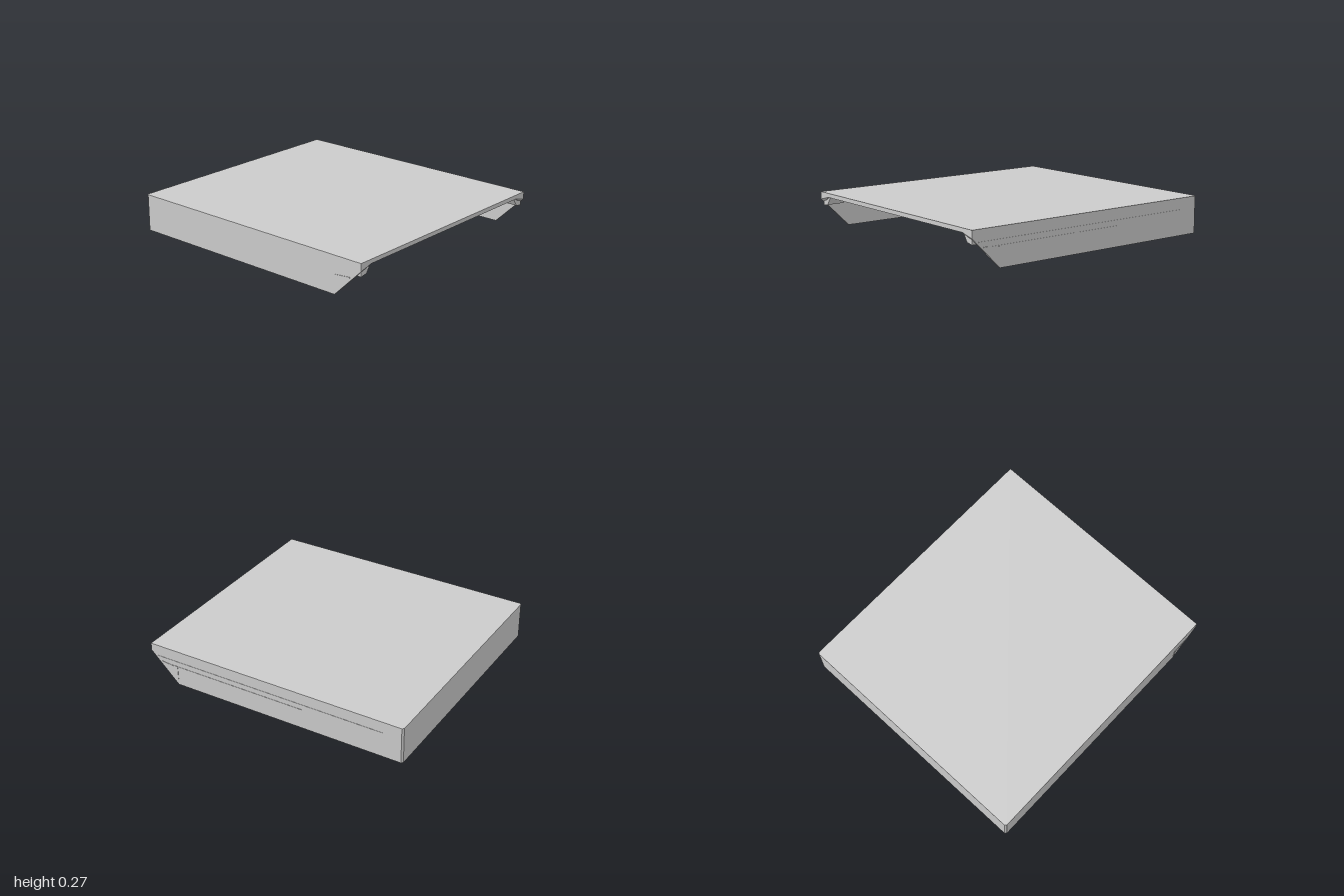
import * as THREE from 'three';

const material = new THREE.MeshStandardMaterial({ color: 0xcccccc, flatShading: true, side: THREE.DoubleSide });

function part(name, geometry, x = 0, y = 0, z = 0) {
  const mesh = new THREE.Mesh(geometry, material);
  mesh.name = name;
  mesh.position.set(x, y, z);
  return mesh;
}

// U-shaped outline, open towards +x, with clipped corners at the closed end
function outline(y, openX, closedX, halfZ, cut) {
  const half = [[openX, halfZ], [closedX + cut, halfZ], [closedX, halfZ - cut]];
  const mirrored = half.map(([x, z]) => [x, -z]).reverse();
  return [...half, ...mirrored].map(([x, z]) => [x, y, z]);
}

// Skin joining the outlines, from the outer top round the rim to the inner ceiling
function rimGeometry(rows) {
  const points = [];
  const tri = (a, b, c) => points.push(...a, ...b, ...c);
  for (let r = 0; r < rows.length - 1; r++) {
    for (let i = 0; i < rows[r].length - 1; i++) {
      const a = rows[r][i], b = rows[r][i + 1], c = rows[r + 1][i], d = rows[r + 1][i + 1];
      tri(a, b, c);
      tri(b, d, c);
    }
  }
  // Slanted ends of the two side walls
  for (const end of [0, rows[0].length - 1]) {
    const ring = rows.map(row => row[end]);
    for (let k = 2; k < ring.length - 1; k++) tri(ring[1], ring[k], ring[k + 1]);
    tri(ring[0], ring[1], ring[ring.length - 1]);
  }
  const g = new THREE.BufferGeometry();
  g.setAttribute('position', new THREE.Float32BufferAttribute(points, 3));
  g.computeVertexNormals();
  return g;
}

// Flat panel filling an outline
function panelGeometry(row) {
  const shape = new THREE.Shape(row.map(([x, , z]) => new THREE.Vector2(x, -z)));
  const g = new THREE.ShapeGeometry(shape);
  g.rotateX(-Math.PI / 2);
  g.translate(0, row[0][1], 0);
  return g;
}

export function createModel() {
  const group = new THREE.Group();
  group.name = 'trayLid';

  const top = outline(0.27, 1, -1, 0.91, 0.012);
  const ceiling = outline(0.24, 1, -0.88, 0.81, 0.04);
  const rows = [
    top,
    outline(0.215, 1, -1, 0.91, 0.012),
    outline(0, 0.78, -1, 0.91, 0.012),
    outline(0, 0.78, -0.98, 0.895, 0.085),
    outline(0.19, 0.975, -0.98, 0.895, 0.085),
    ceiling,
  ];
  group.add(part('rim', rimGeometry(rows)));
  group.add(part('topPanel', panelGeometry(top)));
  group.add(part('ceilingPanel', panelGeometry(ceiling)));
  group.add(part('openEdge', new THREE.BoxGeometry(0.02, 0.03, 1.8), 0.99, 0.255, 0));

  // Wedge blocks along the inside of the side walls
  const wedge = new THREE.Shape([[0.893, 0.17], [0.84, 0.18], [0.8, 0.24], [0.893, 0.24]]
    .map(([z, y]) => new THREE.Vector2(z, y)));
  const wedgeGeometry = new THREE.ExtrudeGeometry(wedge, { depth: 0.13, bevelEnabled: false });
  wedgeGeometry.translate(0, 0, -0.065);
  for (const side of [1, -1]) {
    for (let i = 0; i < 7; i++) {
      const block = part('innerBlock', wedgeGeometry, -0.62 + i * 0.257);
      block.rotation.y = -side * Math.PI / 2;
      group.add(block);
    }
    // Small latch frame at the open end of each side wall
    const z = side * 0.909;
    group.add(part('latchPost', new THREE.BoxGeometry(0.008, 0.1, 0.008), 0.782, 0.095, z));
    const rail = part('latchRail', new THREE.BoxGeometry(0.13, 0.008, 0.008), 0.845, 0.143, z);
    rail.rotation.z = 0.1;
    group.add(rail);
  }

  // Thin seams along the back wall
  for (const [x, y, length] of [[0.05, 0.185, 1.8], [0.33, 0.145, 1.15]]) {
    group.add(part('backSeam', new THREE.BoxGeometry(length, 0.006, 0.006), x, y, -0.909));
  }
  return group;
}
